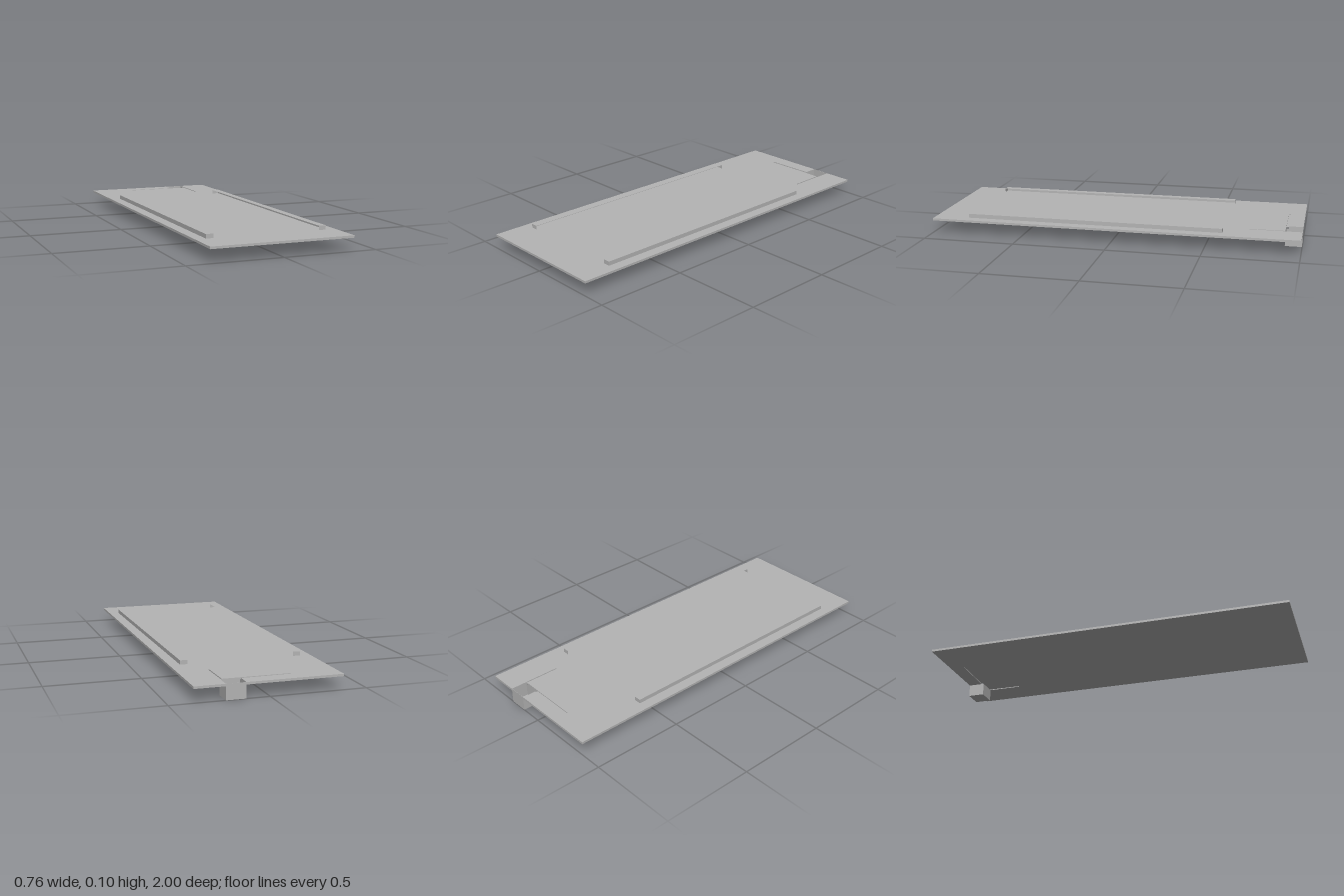
import * as THREE from 'three';

const SIDES = ['+x', '-x', '+y', '-y', '+z', '-z'];

// Box between two corners, leaving out one open side
function openBox(min, max, open) {
  const size = max.map((v, i) => v - min[i]);
  const geo = new THREE.BoxGeometry(...size);
  geo.translate(...min.map((v, i) => v + size[i] / 2));
  const skip = SIDES.indexOf(open);
  if (skip >= 0) {
    geo.setIndex(Array.from(geo.index.array).filter((_, i) => Math.floor(i / 6) !== skip));
    geo.clearGroups();
  }
  return geo;
}

export function createModel() {
  const group = new THREE.Group();
  const grey = new THREE.MeshStandardMaterial({ color: 0xb4b4b4, side: THREE.DoubleSide });
  grey.name = 'plain grey';

  const add = (name, geo) => {
    const mesh = new THREE.Mesh(geo, grey);
    mesh.name = name;
    group.add(mesh);
  };

  const W = 0.379, BOTTOM = 0.068, TOP = 0.08;
  const px0 = 0.12, px1 = 0.222, pz = -0.91; // pocket opening

  // Base plate, notched over the pocket with a narrow slit along each axis.
  // Points are (x, z).
  const outline = [
    [-W, -1], [px0, -1],
    [px0, pz - 0.014], [-0.14, pz - 0.01], [-0.14, pz], [px0, pz],
    [px1 - 0.01, pz], [px1 - 0.008, -0.72], [px1, -0.72], [px1, pz],
    [px1, -1], [W, -1], [W, 1], [-W, 1],
  ];
  const shape = new THREE.Shape(outline.map(([x, z]) => new THREE.Vector2(x, -z)));
  const plate = new THREE.ExtrudeGeometry(shape, { depth: TOP - BOTTOM, bevelEnabled: false });
  plate.rotateX(-Math.PI / 2);
  plate.translate(0, BOTTOM, 0);
  add('basePlate', plate);

  // Thin webs closing the slits halfway down
  add('crossSlitWeb', openBox([-0.14, 0.073, pz - 0.014], [px0, 0.075, pz]));
  add('longSlitWeb', openBox([px1 - 0.01, 0.073, pz], [px1, 0.075, -0.72]));

  // Open-topped pocket hanging under the back edge
  add('pocket', openBox([px0, 0, -1], [px1, BOTTOM, pz], '+y'));
  add('pocketBackRim', openBox([px0, BOTTOM, -1], [px1, TOP, -0.999]));

  // Hollow rails, open toward the middle
  add('leftRail', openBox([0.285, TOP, -0.59], [0.324, 0.102, 0.81], '-x'));
  add('rightRail', openBox([-0.324, TOP, -0.59], [-0.285, 0.102, 0.81], '+x'));

  return group;
}
